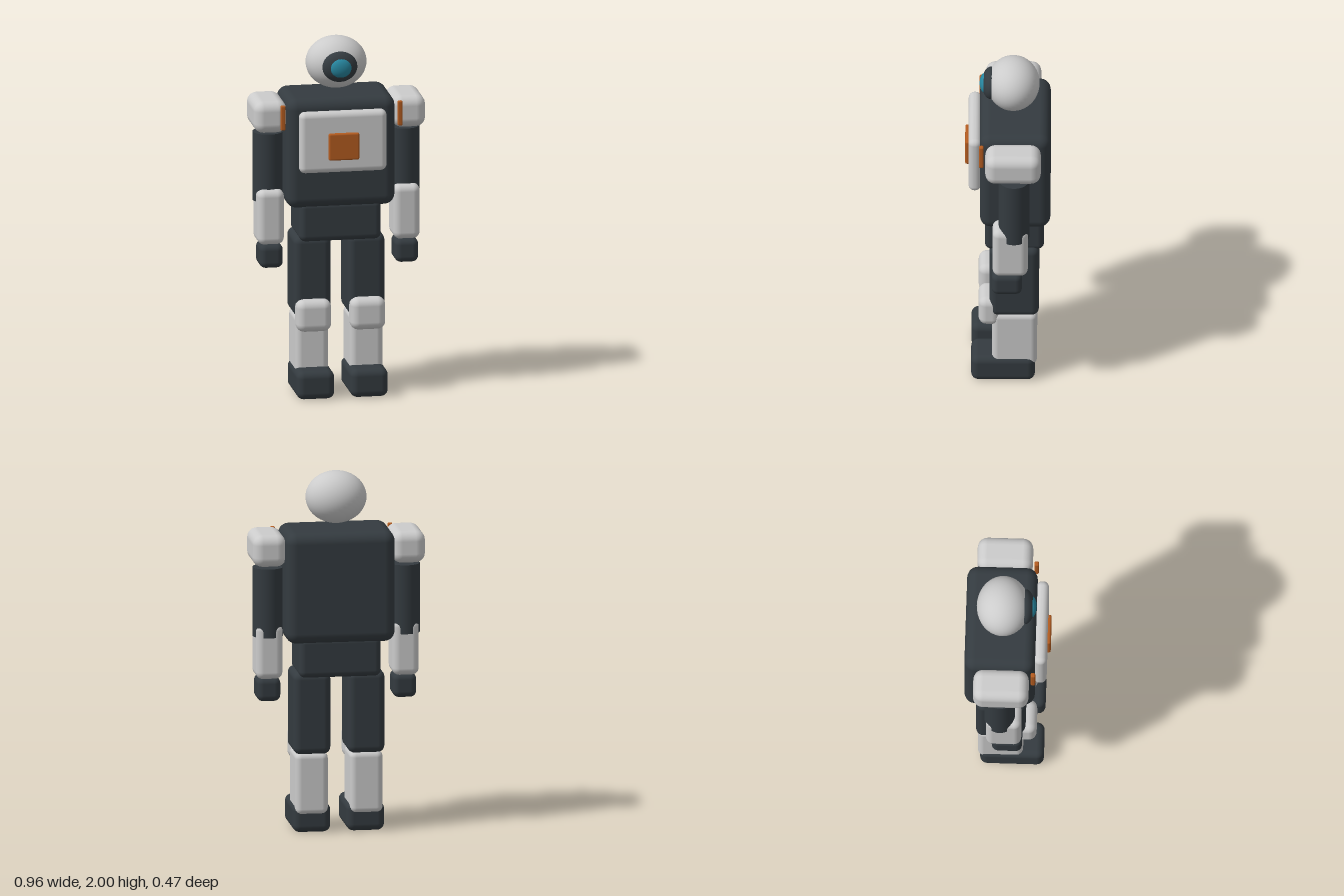
import * as THREE from 'three';
import { RoundedBoxGeometry } from 'three/addons/geometries/RoundedBoxGeometry.js';

const paint = (color) => new THREE.MeshStandardMaterial({ color });

export function createModel() {
  const robot = new THREE.Group();
  robot.name = 'robot';
  const grey = paint(0xcccccc);
  const dark = paint(0x343b40);
  const orange = paint(0xb45c20);
  const blue = paint(0x27869f);

  function add(name, geometry, material, x, y, z) {
    const mesh = new THREE.Mesh(geometry, material);
    mesh.name = name;
    mesh.position.set(x, y, z);
    robot.add(mesh);
    return mesh;
  }

  // Rounded block given by its extents along each axis
  function block(name, material, [x0, x1], [y0, y1], [z0, z1], radius) {
    const geometry = new RoundedBoxGeometry(x1 - x0, y1 - y0, z1 - z0, 3, radius);
    return add(name, geometry, material, (x0 + x1) / 2, (y0 + y1) / 2, (z0 + z1) / 2);
  }

  function ellipsoid(name, material, radii, y, z) {
    const geometry = new THREE.SphereGeometry(1, 40, 28).scale(...radii);
    return add(name, geometry, material, 0, y, z);
  }

  // Head with a single eye
  ellipsoid('head', grey, [0.168, 0.145, 0.145], 1.855, -0.03);
  ellipsoid('eyeSocket', dark, [0.097, 0.085, 0.05], 1.855, 0.092);
  ellipsoid('eyeLens', blue, [0.06, 0.054, 0.03], 1.855, 0.124);

  // Trunk
  block('torso', dark, [-0.303, 0.303], [1.07, 1.69], [-0.235, 0.152], 0.06);
  block('chestPlate', grey, [-0.243, 0.243], [1.285, 1.63], [0.145, 0.215], 0.033);
  block('chestPanel', orange, [-0.085, 0.085], [1.36, 1.512], [0.195, 0.233], 0.01);
  block('waist', dark, [-0.227, 0.227], [0.875, 1.1], [-0.2, 0.125], 0.035);

  // Limbs, mirrored left and right
  for (const [side, s] of [['left', 1], ['right', -1]]) {
    const part = (name, material, [inner, outer], y, z, radius) =>
      block(side + name, material, s > 0 ? [inner, outer] : [-outer, -inner], y, z, radius);

    part('Shoulder', grey, [0.292, 0.478], [1.495, 1.675], [-0.183, 0.122], 0.055);
    part('ShoulderTab', orange, [0.312, 0.339], [1.522, 1.662], [0.131, 0.156], 0.008);
    add(side + 'UpperArm', new THREE.CylinderGeometry(0.084, 0.084, 0.386, 32), dark,
      s * 0.379, 1.283, -0.036);
    part('Forearm', grey, [0.303, 0.452], [0.855, 1.165], [-0.112, 0.082], 0.04);
    part('Hand', dark, [0.311, 0.442], [0.725, 0.86], [-0.08, 0.086], 0.035);

    part('Thigh', dark, [0.047, 0.253], [0.44, 0.9], [-0.172, 0.1], 0.04);
    part('Shin', grey, [0.06, 0.243], [0.1, 0.45], [-0.162, 0.086], 0.035);
    part('Knee', grey, [0.053, 0.248], [0.37, 0.55], [0.04, 0.16], 0.045);
    part('Foot', dark, [0.044, 0.254], [0, 0.16], [-0.15, 0.2], 0.04);
  }

  return robot;
}
